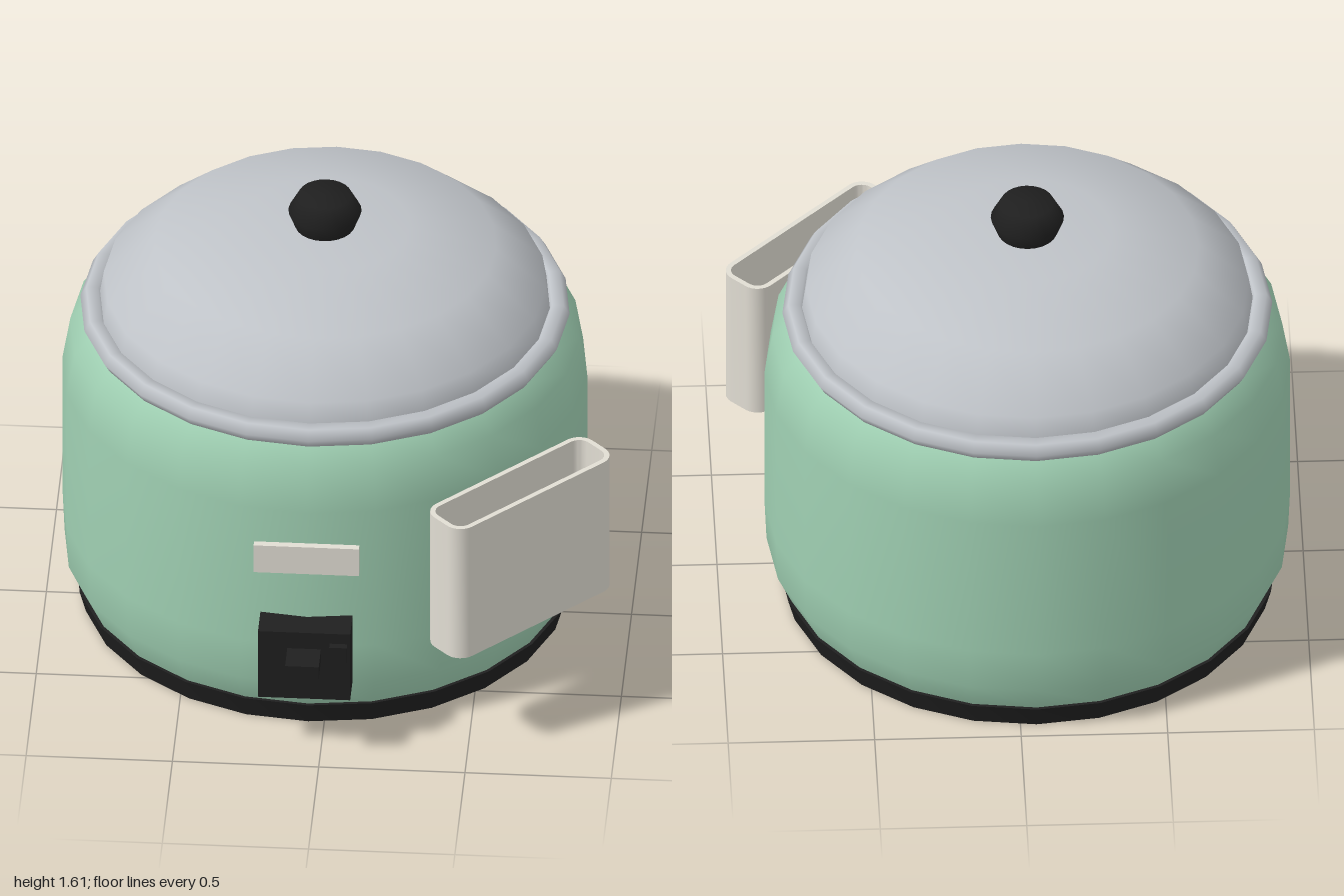
import * as THREE from 'three';
import { toCreasedNormals } from 'three/addons/utils/BufferGeometryUtils.js';

const CX = -0.055, CZ = -0.105; // axis of the round pot

function mat(name, color, double) {
  const m = new THREE.MeshStandardMaterial({ color });
  m.name = name;
  if (double) m.side = THREE.DoubleSide;
  return m;
}

function roundRect(hx, hy, r, T) {
  const s = new T();
  s.moveTo(-hx + r, -hy);
  s.lineTo(hx - r, -hy);
  s.absarc(hx - r, -hy + r, r, -Math.PI / 2, 0);
  s.lineTo(hx, hy - r);
  s.absarc(hx - r, hy - r, r, 0, Math.PI / 2);
  s.lineTo(-hx + r, hy);
  s.absarc(-hx + r, hy - r, r, Math.PI / 2, Math.PI);
  s.lineTo(-hx, -hy + r);
  s.absarc(-hx + r, -hy + r, r, Math.PI, Math.PI * 1.5);
  return s;
}

export function createModel() {
  const model = new THREE.Group();
  model.name = 'cooker';
  const green = mat('green enamel', 0x9fcfb2, true);
  const metal = mat('grey metal', 0xbfc3c8, true);
  const black = mat('black plastic', 0x1f1f1f, true);
  const cream = mat('cream plastic', 0xe1ddd3);
  const warm = mat('warm grey', 0x8f847c, true);

  const add = (name, geo, material, parent = model) => {
    const m = new THREE.Mesh(geo, material);
    m.name = name;
    parent.add(m);
    return m;
  };
  const lathe = (name, pts, material, parent, crease = 0) => {
    let g = new THREE.LatheGeometry(pts.map(p => new THREE.Vector2(p[0], p[1])), 24);
    if (crease) g = toCreasedNormals(g, crease);
    return add(name, g, material, parent);
  };
  const box = (name, x0, x1, y0, y1, z0, z1, material, parent) => {
    const g = new THREE.BoxGeometry(x1 - x0, y1 - y0, z1 - z0);
    g.translate((x0 + x1) / 2, (y0 + y1) / 2, (z0 + z1) / 2);
    return add(name, g, material, parent);
  };

  // Round pot: open shell, foot ring, inner plate with edge, rim, lid and knob
  const pot = new THREE.Group();
  pot.name = 'pot';
  pot.position.set(CX, 0, CZ);
  model.add(pot);
  lathe('body', [[0.84, 0.08], [0.89, 0.19], [0.897, 0.35], [0.897, 0.9], [0.87, 1.06], [0.81, 1.13]], green, pot);
  lathe('footRing', [[0.715, 0], [0.83, 0], [0.852, 0.08], [0.835, 0.08]], black, pot, 0.6);
  lathe('innerPlate', [[0, 0.185], [0.7, 0.185]], metal, pot);
  lathe('innerPlateEdge', [[0.7, 0.185], [0.73, 0.165]], warm, pot);
  add('rim', new THREE.TorusGeometry(0.796, 0.04, 6, 24).rotateX(Math.PI / 2), metal, pot).position.y = 1.155;
  lathe('lid', [[0.77, 1.17], [0.755, 1.26], [0.585, 1.41], [0.29, 1.485], [0, 1.485]], metal, pot);
  lathe('knob', [[0.1, 1.48], [0.125, 1.545], [0.09, 1.61], [0, 1.61]], black, pot);

  // Front controls
  box('labelPlate', -0.235, 0.125, 0.67, 0.78, 0.795, 0.82, cream);
  box('switchBox', -0.215, 0.1, 0.205, 0.475, 0.74, 0.89, black);
  box('switchLever', -0.115, 0, 0.36, 0.41, 0.88, 1, black);
  box('indicator', 0.03, 0.09, 0.375, 0.435, 0.88, 0.915, black);

  // Side pocket, open at the top, on a bracket at 45 degrees
  const holder = new THREE.Group();
  holder.name = 'sidePocket';
  holder.position.set(CX, 0, CZ);
  holder.rotation.y = Math.PI / 4;
  model.add(holder);
  const upright = (shape, y0, y1) => toCreasedNormals(
    new THREE.ExtrudeGeometry(shape, { depth: y1 - y0, bevelEnabled: false, curveSegments: 4 })
      .rotateX(-Math.PI / 2).translate(0, y0, 1.012), 0.6);
  const wall = roundRect(0.357, 0.093, 0.06, THREE.Shape);
  wall.holes.push(roundRect(0.339, 0.075, 0.042, THREE.Path));
  add('pocketWall', upright(wall, 0.405, 0.937), cream, holder);
  add('pocketFloor', upright(roundRect(0.35, 0.086, 0.053, THREE.Shape), 0.406, 0.43), cream, holder);
  box('pocketBracket', -0.1, 0.1, 0.585, 0.755, 0.84, 0.928, cream, holder);

  return model;
}
